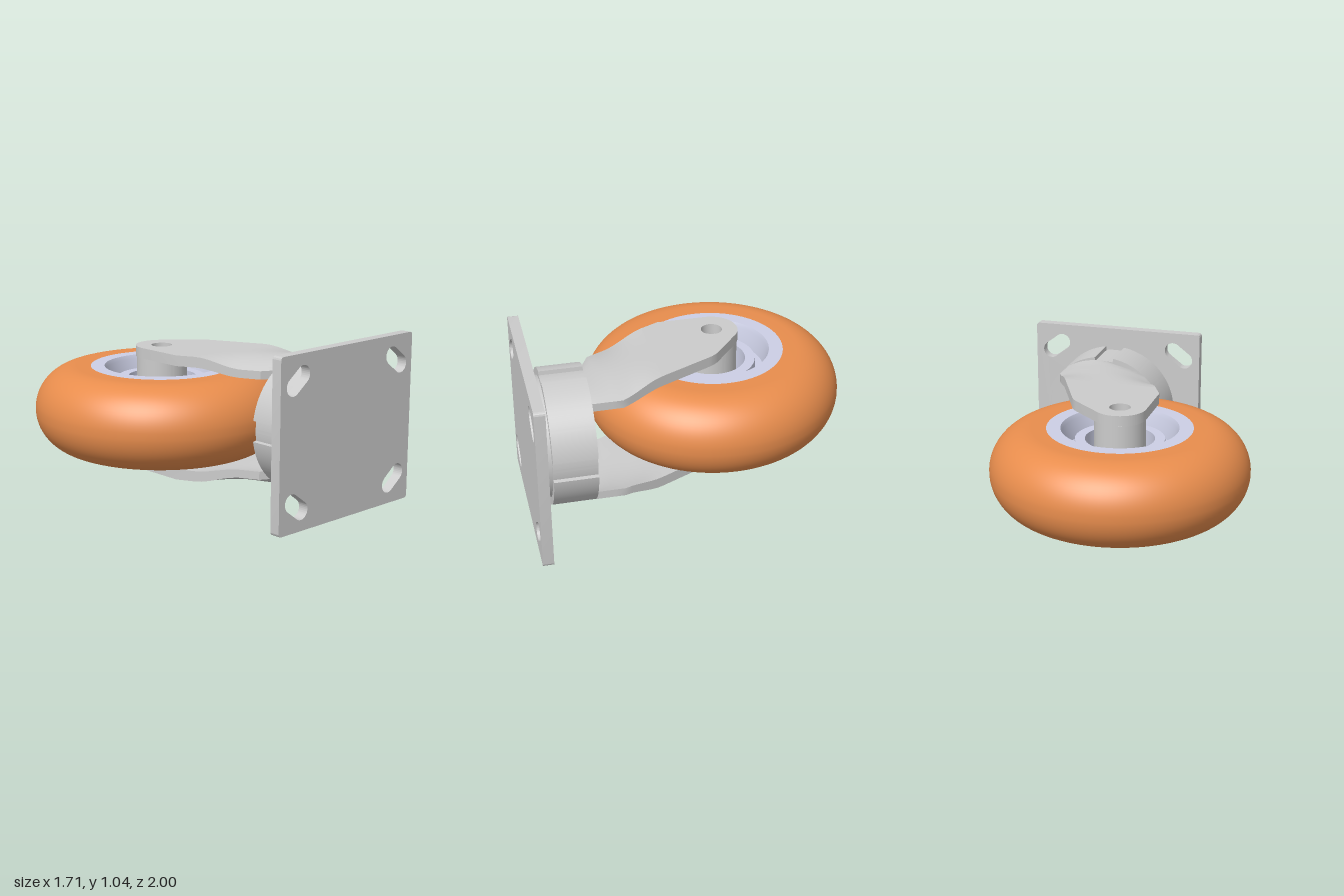
import * as THREE from 'three';
import { toCreasedNormals } from 'three/addons/utils/BufferGeometryUtils.js';

const MID = 0.52; // height of the wheel's middle plane
const AXLE = { x: -0.07, z: -0.215 };
const SWIVEL_X = 0.287;

const grey = new THREE.MeshStandardMaterial({ color: 0xcccccc });
const orange = new THREE.MeshStandardMaterial({ color: 0xe88d4d });
const rimBlue = new THREE.MeshStandardMaterial({ color: 0xcccfe5 });

function part(name, geometry, material = grey) {
  const mesh = new THREE.Mesh(toCreasedNormals(geometry, 0.5), material);
  mesh.name = name;
  return mesh;
}

// Closed ring turned round the axle, from half a profile (r, height) mirrored top to bottom
function turned(name, half, material) {
  const top = half.map(([r, y]) => new THREE.Vector2(r, y));
  const bottom = half.map(([r, y]) => new THREE.Vector2(r, -y)).reverse();
  const profile = [...bottom, ...top, bottom[0].clone()];
  const mesh = part(name, new THREE.LatheGeometry(profile, 96), material);
  mesh.position.set(AXLE.x, MID, AXLE.z);
  return mesh;
}

function extrude(shape, depth) {
  return new THREE.ExtrudeGeometry(shape, { depth, bevelEnabled: false, curveSegments: 24 });
}

// Mounting plate with rounded corners and four slanted slots
function mountingPlate() {
  const w = 0.568, h = 0.518, r = 0.02;
  const s = new THREE.Shape();
  s.absarc(w - r, h - r, r, 0, Math.PI / 2);
  s.absarc(-w + r, h - r, r, Math.PI / 2, Math.PI);
  s.absarc(-w + r, -h + r, r, Math.PI, Math.PI * 1.5);
  s.absarc(w - r, -h + r, r, Math.PI * 1.5, Math.PI * 2);
  for (const sx of [-1, 1]) for (const sy of [-1, 1]) {
    const a = new THREE.Vector2(sx * 0.465, sy * 0.337);
    const b = new THREE.Vector2(sx * 0.387, sy * 0.396);
    const dir = Math.atan2(b.y - a.y, b.x - a.x);
    const slot = new THREE.Path();
    slot.absarc(b.x, b.y, 0.055, dir - Math.PI / 2, dir + Math.PI / 2);
    slot.absarc(a.x, a.y, 0.055, dir + Math.PI / 2, dir + Math.PI * 1.5);
    slot.closePath();
    s.holes.push(slot);
  }
  const mesh = part('mountingPlate', extrude(s, 0.065));
  mesh.position.set(SWIVEL_X, 0.518, 0.935);
  return mesh;
}

// Swivel housing: a disc with four shallow grooves along its rim
function swivelHousing() {
  const R = 0.408, depth = 0.025, half = Math.asin(0.063 / R);
  const s = new THREE.Shape();
  for (let i = 0; i < 4; i++) {
    const a = i * Math.PI / 2;
    s.absarc(0, 0, R - depth, a - half, a + half);
    s.absarc(0, 0, R, a + half, a + Math.PI / 2 - half);
  }
  s.closePath();
  const mesh = part('swivelHousing', extrude(s, 0.26));
  mesh.position.set(SWIVEL_X, MID, 0.63);
  return mesh;
}

// Linear lookup of x along an edge given as [z, x] points
function edgeAt(points, z) {
  let i = 0;
  while (i < points.length - 2 && z > points[i + 1][0]) i++;
  const [[z0, x0], [z1, x1]] = [points[i], points[i + 1]];
  return x0 + (x1 - x0) * (z - z0) / (z1 - z0);
}

// Curved root of a fork arm: its flat section arches as it meets the swivel
function armRoot() {
  const left = [[0.09, -0.23], [0.57, 0], [0.635, 0.13]];
  const right = [[0.2, 0.411], [0.45, 0.53], [0.635, 0.53]];
  const rows = [0.2, 0.24, 0.28, 0.32, 0.36, 0.4, 0.45, 0.51, 0.57, 0.635];
  const cols = 12, ring = 2 * (cols + 1), pos = [], index = [];
  for (const z of rows) {
    const xl = edgeAt(left, z), xr = edgeAt(right, z);
    const t = THREE.MathUtils.smoothstep(z, 0.2, 0.46);
    for (let k = 0; k < ring; k++) {
      const outer = k <= cols;
      const u = (outer ? k : ring - 1 - k) / cols;
      const y = 0.385 - 0.055 * t * (2 * u - 1) ** 2;
      pos.push(xl + (xr - xl) * u, outer ? y : y - 0.065 + 0.015 * t, z);
    }
  }
  for (let i = 0; i < rows.length - 1; i++) for (let k = 0; k < ring; k++) {
    const a = i * ring + k, b = i * ring + (k + 1) % ring;
    index.push(a, a + ring, b, b, a + ring, b + ring);
  }
  const g = new THREE.BufferGeometry();
  g.setAttribute('position', new THREE.Float32BufferAttribute(pos, 3));
  g.setIndex(index);
  return part('armRoot', g);
}

// Fork arm: flat rounded tip with the axle hole, plus the curved root
function forkArm(name, side) {
  const s = new THREE.Shape();
  s.moveTo(-0.177, 0.2);
  s.lineTo(-0.23, 0.09);
  s.lineTo(-0.23, AXLE.z);
  s.absarc(AXLE.x, AXLE.z, 0.16, Math.PI, Math.PI * 1.75);
  s.lineTo(0.215, -0.183);
  s.quadraticCurveTo(0.245, -0.153, 0.262, -0.115);
  s.lineTo(0.411, 0.2);
  s.closePath();
  const hole = new THREE.Path();
  hole.absarc(AXLE.x, AXLE.z, 0.064, 0, Math.PI * 2, true);
  s.holes.push(hole);
  const g = extrude(s, 0.065);
  g.rotateX(Math.PI / 2);
  g.translate(0, 0.385, 0);
  const arm = new THREE.Group();
  arm.name = name;
  arm.add(part('armTip', g), armRoot());
  arm.position.y = MID;
  arm.scale.y = side;
  return arm;
}

export function createModel() {
  const model = new THREE.Group();
  model.name = 'casterWheel';

  // Tyre with a half-round tread
  const tread = [];
  for (let i = 0; i <= 20; i++) {
    const a = i / 20 * Math.PI / 2;
    tread.push([0.525 + 0.26 * Math.cos(a), 0.26 * Math.sin(a)]);
  }
  model.add(turned('tyre', [...tread.slice(1), [0.44, 0.26]], orange));

  // Rim, recessed web and hollow hub
  model.add(turned('rim', [
    [0.44, 0.26], [0.355, 0.26], [0.345, 0.235], [0.325, 0.12],
    [0.275, 0.12], [0.27, 0.19], [0.21, 0.19],
  ], rimBlue));

  // Axle sleeve between the arms
  model.add(turned('axleSleeve', [[0.155, 0.318], [0.064, 0.318]], grey));

  model.add(forkArm('upperForkArm', 1), forkArm('lowerForkArm', -1));
  model.add(swivelHousing());

  // Collar between housing and plate
  const collar = part('swivelCollar', new THREE.CylinderGeometry(0.362, 0.362, 0.06, 72).rotateX(Math.PI / 2));
  collar.position.set(SWIVEL_X, MID, 0.91);
  model.add(collar, mountingPlate());
  return model;
}
